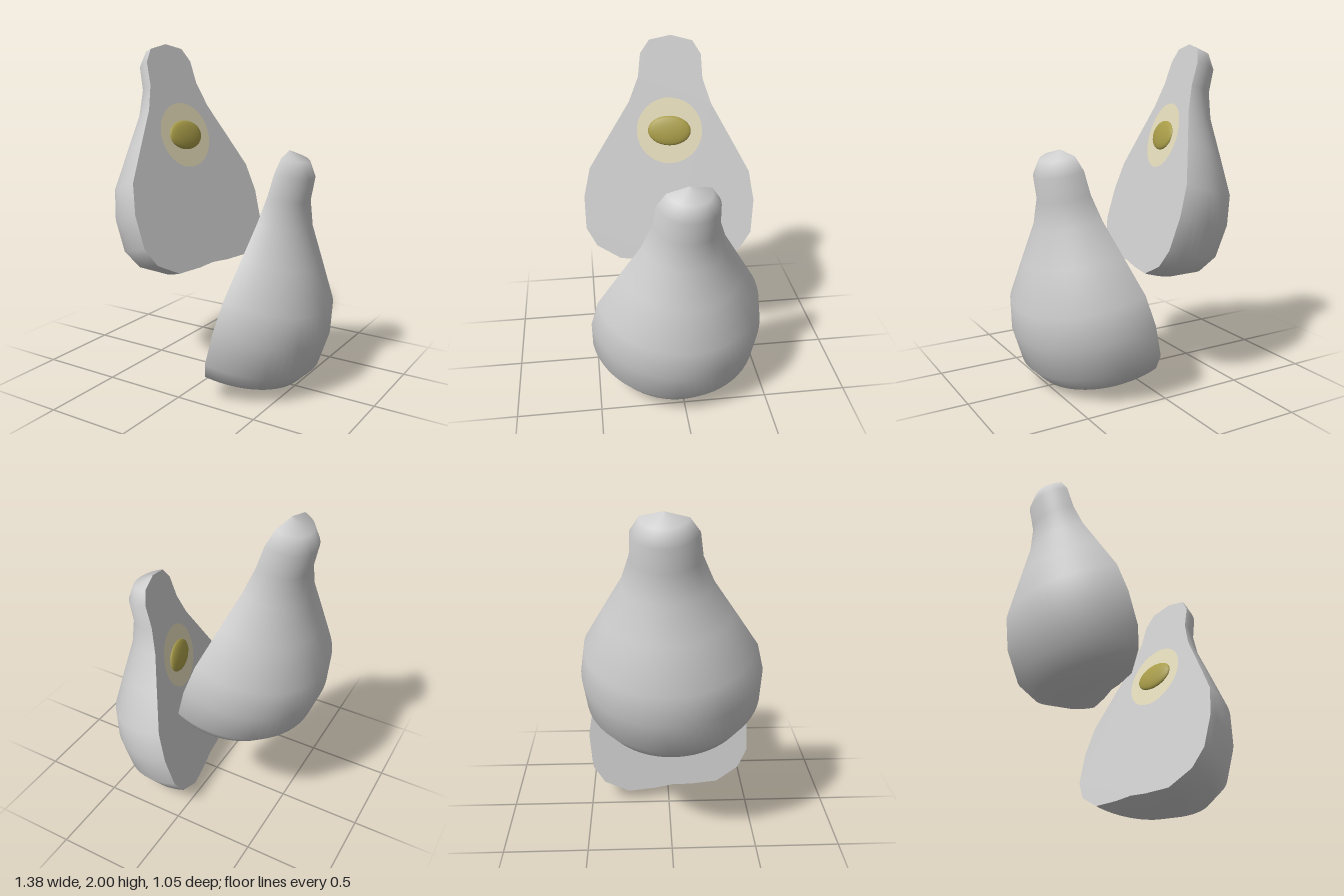
import * as THREE from 'three';

const mat = (name, color) => {
  const m = new THREE.MeshStandardMaterial({ color });
  m.name = name;
  return m;
};
const add = (group, name, geometry, material) => {
  const mesh = new THREE.Mesh(geometry, material);
  mesh.name = name;
  group.add(mesh);
  return mesh;
};

// half outline of the pear: radius, height
const profile = [
  [0, 0.02], [0.12, 0.01], [0.295, 0.01], [0.447, 0.09], [0.515, 0.2], [0.527, 0.4],
  [0.492, 0.58], [0.363, 0.8], [0.25, 0.99], [0.195, 1.14], [0.183, 1.28],
  [0.13, 1.36], [0, 1.39],
].map(([r, h]) => new THREE.Vector2(r, h));

// One half: body bulges to +x, the cut face looks toward -x
function pearHalf(name, mats) {
  const half = new THREE.Group();
  half.name = name;

  add(half, 'skin', new THREE.LatheGeometry(profile, 32, 0, Math.PI), mats.flesh);

  // flat cut, outlined by the profile and its mirror image
  const mirrored = profile.slice(1, -1).reverse().map((p) => new THREE.Vector2(-p.x, p.y));
  const cut = new THREE.ShapeGeometry(new THREE.Shape([...profile, ...mirrored]));
  add(half, 'cutFace', cut.rotateY(-Math.PI / 2), mats.flesh);

  // pale core disc just proud of the cut
  const core = new THREE.CircleGeometry(0.2, 40).rotateY(-Math.PI / 2);
  add(half, 'core', core, mats.core).position.set(-0.003, 0.82, 0);

  // flattened seed half sunk in the core
  const seed = new THREE.SphereGeometry(1, 32, 20).scale(0.025, 0.09, 0.131);
  add(half, 'seed', seed, mats.seed).position.set(-0.003, 0.82, 0);

  half.rotation.order = 'YXZ';
  return half;
}

export function createModel() {
  const model = new THREE.Group();
  model.name = 'halvedPear';
  const mats = {
    flesh: mat('pear grey', 0xcccccc),
    core: mat('core cream', 0xe2d9b8),
    seed: mat('seed olive', 0xa89c48),
  };
  const deg = Math.PI / 180;

  // lower half on the left, leaning outward
  const lower = pearHalf('leftHalf', mats);
  lower.position.set(0.063, 0.065, 0.03);
  lower.rotation.set(0, 10 * deg, -15 * deg);

  // raised half on the right, turned to face it
  const upper = pearHalf('rightHalf', mats);
  upper.position.set(-0.056, 0.67, 0.03);
  upper.rotation.set(0, 170 * deg, -17 * deg);

  model.add(lower, upper);
  return model;
}
